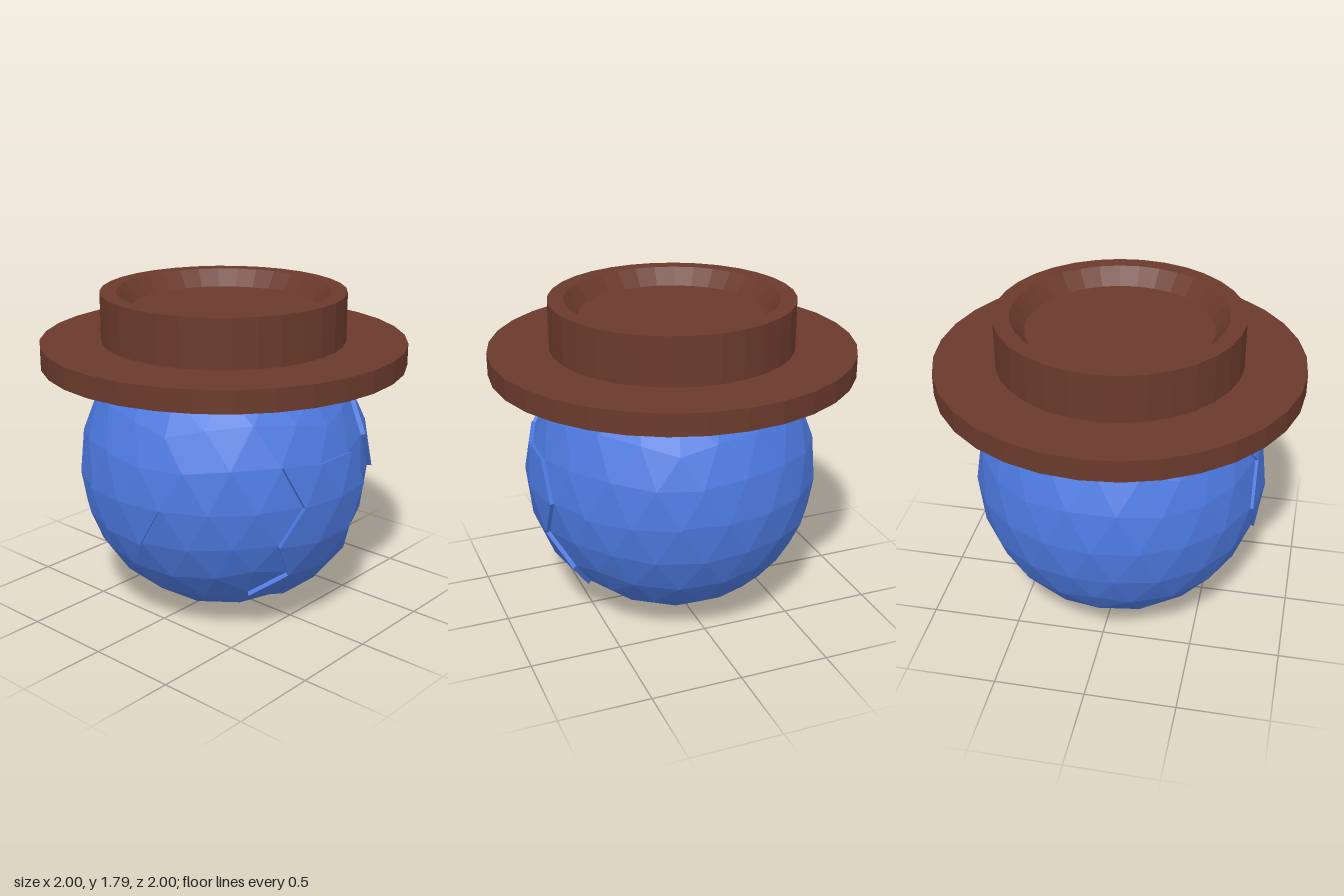
import * as THREE from 'three';

const R = 0.807; // ball radius, also the height of its centre
const FREQ = 4; // subdivisions per icosahedron edge

// Triangles of a subdivided icosahedron standing on a pole, centred on the origin
function ballFaces() {
  const ring = (k, deg, y) => {
    const a = THREE.MathUtils.degToRad(deg + 72 * k);
    return new THREE.Vector3(2 * Math.cos(a), y, 2 * Math.sin(a)).normalize();
  };
  const top = new THREE.Vector3(0, 1, 0), bottom = new THREE.Vector3(0, -1, 0);
  const faces = [];
  const split = (a, b, c) => {
    const at = (i, j) => a.clone().multiplyScalar(FREQ - i - j)
      .addScaledVector(b, i).addScaledVector(c, j).setLength(R);
    for (let i = 0; i < FREQ; i++) {
      for (let j = 0; j < FREQ - i; j++) {
        faces.push([at(i, j), at(i + 1, j), at(i, j + 1)]);
        if (i + j < FREQ - 1) faces.push([at(i + 1, j), at(i + 1, j + 1), at(i, j + 1)]);
      }
    }
  };
  for (let k = 0; k < 5; k++) {
    const u = ring(k, 0, 1), u2 = ring(k + 1, 0, 1);
    const l = ring(k, 36, -1), l2 = ring(k + 1, 36, -1);
    split(top, u2, u);
    split(u, u2, l);
    split(l, u2, l2);
    split(bottom, l, l2);
  }
  // make every triangle face outward
  for (const f of faces) {
    const n = f[1].clone().sub(f[0]).cross(f[2].clone().sub(f[0]));
    if (n.dot(f[0]) < 0) f.reverse();
  }
  return faces;
}

function inside(px, py, poly) {
  let hit = false;
  for (let i = 0, j = poly.length - 1; i < poly.length; j = i++) {
    const [xi, yi] = poly[i], [xj, yj] = poly[j];
    if ((yi > py) !== (yj > py) && px < ((xj - xi) * (py - yi)) / (yj - yi) + xi) hit = !hit;
  }
  return hit;
}

function meshOf(name, triangles, material) {
  const g = new THREE.BufferGeometry().setFromPoints(triangles.flat());
  g.computeVertexNormals();
  const m = new THREE.Mesh(g, material);
  m.name = name;
  m.position.y = R;
  return m;
}

// Raise a patch of triangles and wall in its open edges
function raise(faces, scale) {
  const key = (v) => v.toArray().map((n) => Math.round(n * 1000)).join();
  const up = (v) => v.clone().multiplyScalar(scale);
  const edges = new Set();
  const each = (fn) => faces.forEach((f) => f.forEach((a, i) => fn(a, f[(i + 1) % 3])));
  each((a, b) => edges.add(key(a) + '|' + key(b)));
  const out = faces.map((f) => f.map(up));
  each((a, b) => {
    if (!edges.has(key(b) + '|' + key(a))) out.push([a, b, up(b)], [a, up(b), up(a)]);
  });
  return out;
}

// Plate outlines: across is the horizontal axis, toward the side they sit on
const plates = [
  { name: 'frontPlate', across: 'x', toward: 'z', sign: 1, scale: 1.022, outline: [
    [-0.22, 1.23], [-0.11, 1.02], [-0.25, 0.81], [-0.13, 0.59], [0.13, 0.59], [0.25, 0.81],
    [0.65, 0.81], [0.695, 1.03], [0.555, 1.24], [0.516, 1.395], [0.36, 1.395], [0.19, 1.34],
    [-0.04, 1.395]] },
  { name: 'sidePlate', across: 'z', toward: 'x', sign: 1, scale: 1.03, outline: [
    [0.344, 1.03], [-0.12, 1.01], [-0.25, 0.81], [-0.13, 0.586], [-0.23, 0.4], [-0.13, 0.22],
    [0.35, 0.27], [0.23, 0.4], [0.36, 0.6], [0.25, 0.81]] },
  { name: 'backPlate', across: 'x', toward: 'z', sign: -1, scale: 1.033, outline: [
    [0.555, 1.24], [0.39, 1.216], [0.224, 1.17], [0.126, 1.01], [0.25, 0.81], [0.65, 0.81],
    [0.695, 1.03]] },
];

export function createModel() {
  const group = new THREE.Group();
  const blue = new THREE.MeshStandardMaterial({ color: 0x4c78de, flatShading: true });
  const brown = new THREE.MeshStandardMaterial({ color: 0x6b3a2c, flatShading: true });

  // Faceted ball with three raised plates
  let rest = ballFaces();
  for (const p of plates) {
    const isIn = (f) => {
      const c = f[0].clone().add(f[1]).add(f[2]).divideScalar(3);
      return c[p.toward] * p.sign > 0 && inside(c[p.across], c.y + R, p.outline);
    };
    const patch = rest.filter(isIn);
    rest = rest.filter((f) => !isIn(f));
    group.add(meshOf(p.name, raise(patch, p.scale), blue));
  }
  group.add(meshOf('ball', rest, blue));

  // Brimmed lid: hollow underside, wide brim, crown with a dished top
  const profile = [
    [0, 1.49], [0.79, 1.49], [0.95, 1.405], [1, 1.405], [1, 1.525],
    [0.668, 1.525], [0.668, 1.79], [0.58, 1.79], [0.505, 1.7], [0, 1.7],
  ].map(([r, y]) => new THREE.Vector2(r, y));
  const hat = new THREE.Mesh(new THREE.LatheGeometry(profile, 32), brown);
  hat.name = 'hat';
  group.add(hat);

  return group;
}
